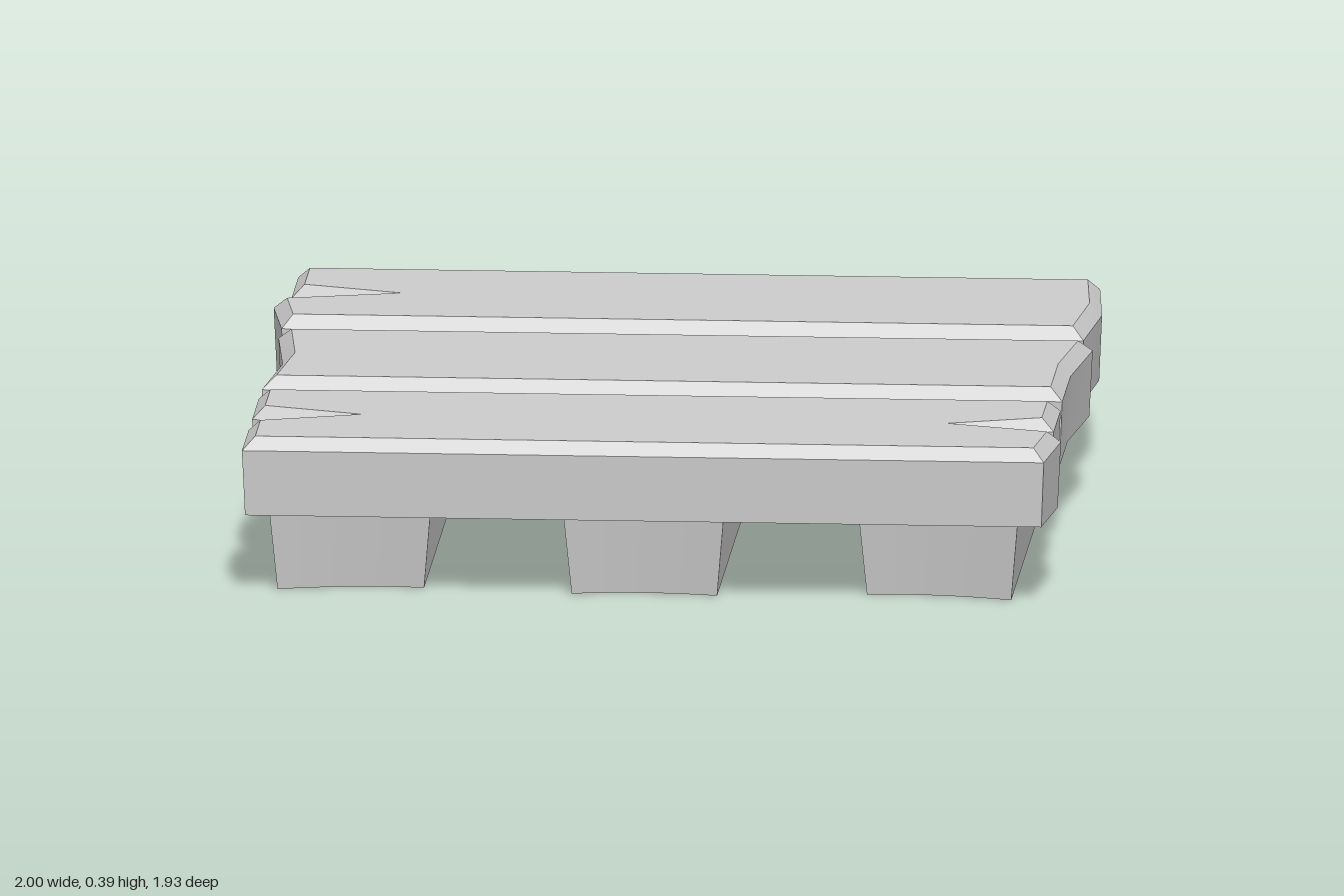
import * as THREE from 'three';
import { toCreasedNormals } from 'three/addons/utils/BufferGeometryUtils.js';

const material = new THREE.MeshStandardMaterial({ color: 0xcccccc });

// Moves every edge of an [x, z] outline inwards by d, with mitred corners.
function inset(outline, d) {
  const n = outline.length;
  const normal = (a, b) => new THREE.Vector2(a[1] - b[1], b[0] - a[0]).normalize();
  return outline.map((p, i) => {
    const n1 = normal(outline[(i + n - 1) % n], p);
    const n2 = normal(p, outline[(i + 1) % n]);
    const k = d / (1 + n1.dot(n2));
    return [p[0] + (n1.x + n2.x) * k, p[1] + (n1.y + n2.y) * k];
  });
}

// Plank: slightly flared walls, a chamfer around the rim and flat caps.
function plankGeometry(outline) {
  const n = outline.length;
  const rings = [[0.2, 0.007], [0.36, 0], [0.39, 0.03]].map(([y, d]) =>
    inset(outline, d).map(([x, z]) => [x, y, z]));
  const positions = [];
  const tri = (...corners) => corners.forEach((c) => positions.push(...c));

  for (let r = 0; r < 2; r++) {
    for (let i = 0; i < n; i++) {
      const j = (i + 1) % n;
      tri(rings[r][i], rings[r + 1][i], rings[r][j]);
      tri(rings[r][j], rings[r + 1][i], rings[r + 1][j]);
    }
  }
  const cap = (ring, up) => {
    const flat = ring.map(([x, , z]) => new THREE.Vector2(x, z));
    for (const [a, b, c] of THREE.ShapeUtils.triangulateShape(flat, [])) {
      const facesUp = THREE.ShapeUtils.area([flat[a], flat[b], flat[c]]) < 0;
      if (facesUp === up) tri(ring[a], ring[b], ring[c]);
      else tri(ring[a], ring[c], ring[b]);
    }
  };
  cap(rings[0], false);
  cap(rings[2], true);

  const geometry = new THREE.BufferGeometry();
  geometry.setAttribute('position', new THREE.Float32BufferAttribute(positions, 3));
  return toCreasedNormals(geometry, 0.4);
}

// Beam: tapers downwards; its ends are dished and cut back towards the middle.
function beamGeometry(side) {
  const geometry = new THREE.BoxGeometry(2, 0.2, 2, 8, 1, 1);
  const pos = geometry.attributes.position;
  for (let i = 0; i < pos.count; i++) {
    const u = pos.getX(i);
    const low = pos.getY(i) < 0;
    const cut = 0.02 * (1 - u * u) + (side ? 0.02 * (1 - u * side) : 0);
    pos.setX(i, u * (low ? 0.175 : 0.193));
    pos.setZ(i, Math.sign(pos.getZ(i)) * ((low ? 0.87 : 0.9) - cut));
  }
  geometry.computeVertexNormals();
  return geometry;
}

export function createModel() {
  const model = new THREE.Group();
  model.name = 'pallet';
  const add = (name, geometry) => {
    const mesh = new THREE.Mesh(geometry, material);
    mesh.name = name;
    model.add(mesh);
    return mesh;
  };

  // Three beams running front to back
  [['rightBeam', -1], ['middleBeam', 0], ['leftBeam', 1]].forEach(([name, side]) => {
    add(name, beamGeometry(side)).position.set(side * 0.708 - 0.003, 0.1, 0);
  });

  // Three planks across, with split and worn ends
  const planks = {
    backPlank: [
      [-0.965, -0.97], [0.965, -0.97], [0.99, -0.68], [0.965, -0.395],
      [-0.965, -0.395], [-1, -0.625], [-0.8, -0.68], [-0.965, -0.735],
    ],
    middlePlank: [
      [-0.965, -0.29], [0.995, -0.29], [0.962, 0], [0.962, 0.285],
      [-0.965, 0.285], [-0.935, 0],
    ],
    frontPlank: [
      [-0.965, 0.385], [0.965, 0.385], [0.965, 0.62], [0.81, 0.675], [0.99, 0.73],
      [0.965, 0.965], [-0.965, 0.965], [-0.965, 0.735], [-0.79, 0.675], [-0.965, 0.615],
    ],
  };
  for (const [name, outline] of Object.entries(planks)) add(name, plankGeometry(outline));

  return model;
}
